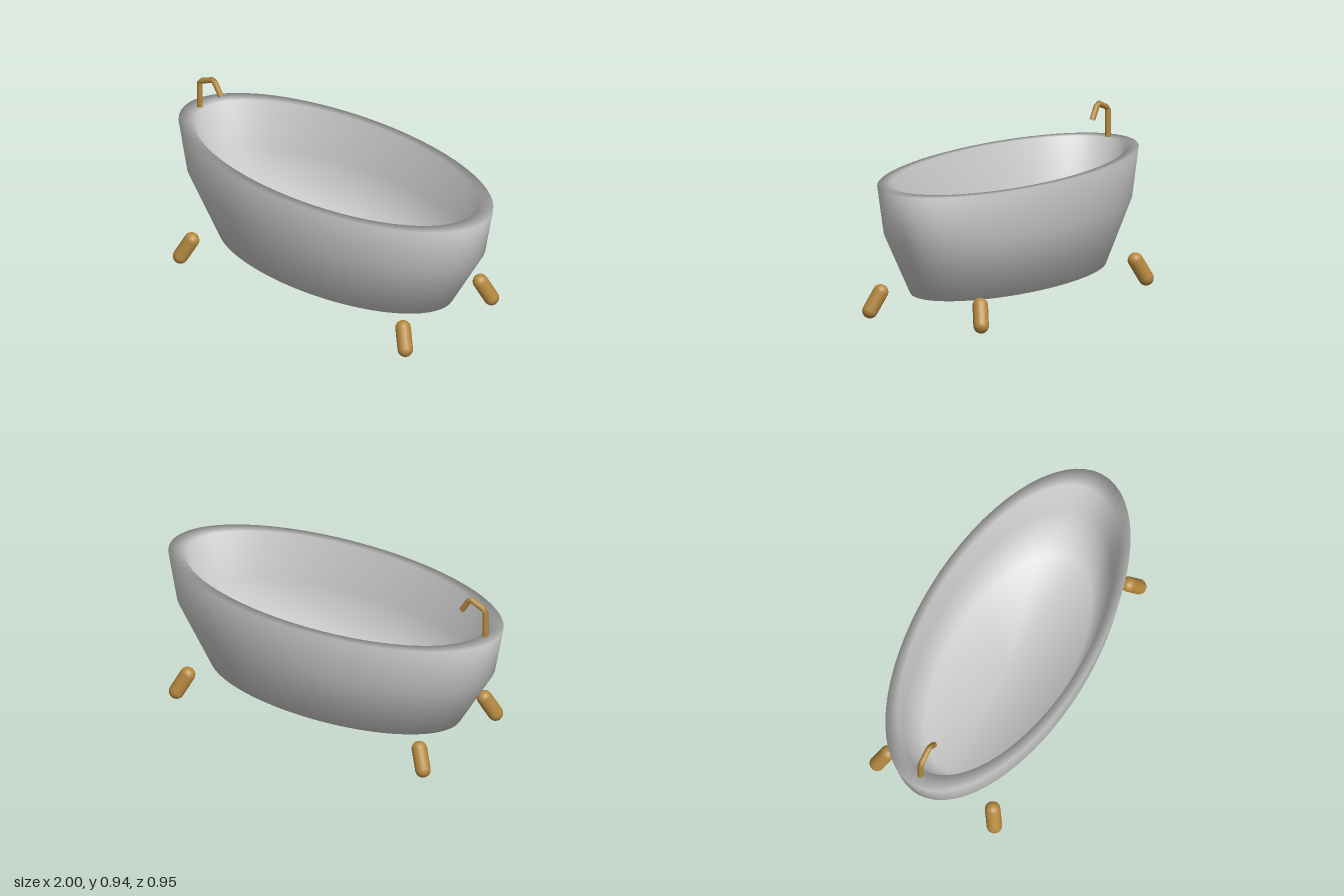
import * as THREE from 'three';

const brass = new THREE.MeshStandardMaterial({ color: 0xb5893f, side: THREE.DoubleSide });
const enamel = new THREE.MeshStandardMaterial({ color: 0xcccccc });

function addMesh(parent, name, geometry, material) {
  const mesh = new THREE.Mesh(geometry, material);
  mesh.name = name;
  parent.add(mesh);
  return mesh;
}

export function createModel() {
  const model = new THREE.Group();
  model.name = 'bathtub';

  // Oval basin: underside, outer wall, flat rim, inner wall and floor
  const profile = [
    [0, 0.135], [0.75, 0.135], [0.95, 0.47], [1, 0.73],
    [0.9, 0.73], [0.85, 0.47], [0.68, 0.2], [0, 0.2],
  ].map(([x, y]) => new THREE.Vector2(x, y));
  const basin = new THREE.LatheGeometry(profile, 64);
  basin.scale(1, 1, 0.475);
  addMesh(model, 'basin', basin, enamel);

  // Four splayed feet
  const up = new THREE.Vector3(0, 1, 0);
  for (const sx of [-1, 1]) {
    for (const sz of [-1, 1]) {
      const foot = new THREE.Vector3(sx * 0.767, 0.041, sz * 0.353);
      const top = new THREE.Vector3(sx * 0.722, 0.138, sz * 0.317);
      const axis = top.clone().sub(foot);
      const leg = addMesh(model, (sz > 0 ? 'front' : 'back') + (sx > 0 ? 'Left' : 'Right') + 'Leg',
        new THREE.CapsuleGeometry(0.041, axis.length(), 8, 20), brass);
      leg.position.copy(foot).add(top).multiplyScalar(0.5);
      leg.quaternion.setFromUnitVectors(up, axis.normalize());
    }
  }

  // Angular spout on the rim: riser, arm and drooping outlet
  const path = new THREE.CurvePath();
  const bends = [[-0.93, 0.72], [-0.93, 0.885], [-0.835, 0.925], [-0.785, 0.845]]
    .map(([x, y]) => new THREE.Vector3(x, y, 0));
  for (let i = 1; i < bends.length; i++) path.add(new THREE.LineCurve3(bends[i - 1], bends[i]));
  addMesh(model, 'faucet', new THREE.TubeGeometry(path, 14, 0.0155, 12, false), brass);

  return model;
}
